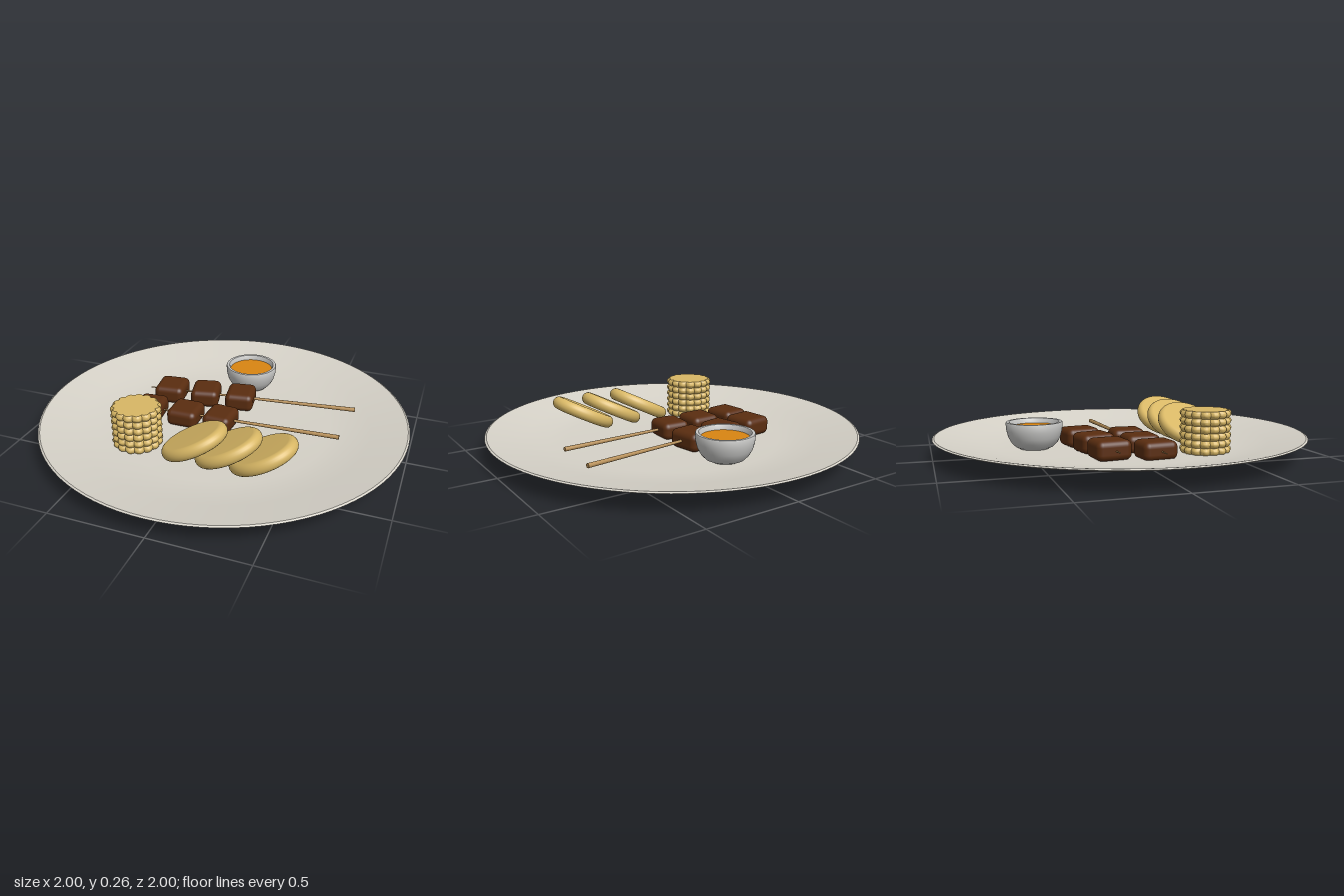
import * as THREE from 'three';
import { RoundedBoxGeometry } from 'three/addons/geometries/RoundedBoxGeometry.js';
import { toCreasedNormals } from 'three/addons/utils/BufferGeometryUtils.js';

const material = (name, color) => {
  const m = new THREE.MeshStandardMaterial({ color });
  m.name = name;
  return m;
};

const lathe = (points, segments) =>
  new THREE.LatheGeometry(points.map(([x, y]) => new THREE.Vector2(x, y)), segments);

export function createModel() {
  const model = new THREE.Group();
  const porcelain = material('porcelain', 0xd6d2c8);
  const ceramic = material('grey ceramic', 0xc6c6c4);
  const sauceOrange = material('sauce orange', 0xd98512);
  const meatBrown = material('grilled brown', 0x5a2d10);
  const wood = material('wood', 0xb89058);
  const dough = material('golden dough', 0xd8b765);

  const add = (parent, name, geometry, mat, x = 0, y = 0, z = 0) => {
    const mesh = new THREE.Mesh(geometry, mat);
    mesh.name = name;
    mesh.position.set(x, y, z);
    parent.add(mesh);
    return mesh;
  };

  // Shallow wide plate
  const plate = lathe([
    [0, 0], [0.55, 0], [0.99, 0.1], [1, 0.106], [0.99, 0.111],
    [0.97, 0.107], [0.8, 0.071], [0.68, 0.048], [0.58, 0.04], [0, 0.038],
  ], 96);
  add(model, 'plate', toCreasedNormals(plate, 0.6), porcelain);

  // Dipping bowl and its sauce
  const bowl = new THREE.Group();
  bowl.name = 'sauceBowl';
  bowl.position.set(0, 0.04, -0.475);
  model.add(bowl);
  const bowlShape = lathe([
    [0, 0], [0.075, 0], [0.1, 0.012], [0.122, 0.035], [0.138, 0.065], [0.147, 0.1],
    [0.15, 0.138], [0.147, 0.144], [0.132, 0.144], [0.128, 0.138], [0.124, 0.11], [0.115, 0.08], [0, 0.07],
  ], 64);
  add(bowl, 'bowl', toCreasedNormals(bowlShape, 0.7), ceramic);
  add(bowl, 'sauce', new THREE.CylinderGeometry(0.124, 0.118, 0.02, 48), sauceOrange, 0, 0.108, 0);

  // Skewers: stick from tip to handle, blocks as [x, z, width, depth, turn]
  const up = new THREE.Vector3(0, 1, 0);
  const skewers = [
    {
      y: 0.09, height: 0.1, tip: [-0.52, -0.16], end: [0.67, -0.303],
      blocks: [[-0.39, -0.176, 0.17, 0.185, 0.12], [-0.185, -0.2, 0.16, 0.185, 0.22], [0.02, -0.225, 0.16, 0.185, 0.16]],
    },
    {
      y: 0.08, height: 0.095, tip: [-0.56, 0.062], end: [0.645, 0.003],
      blocks: [[-0.42, 0.053, 0.16, 0.185, 0.11], [-0.21, 0.043, 0.172, 0.18, 0.01], [-0.007, 0.033, 0.16, 0.18, -0.05]],
    },
  ];
  for (const s of skewers) {
    const skewer = new THREE.Group();
    skewer.name = 'skewer';
    model.add(skewer);
    const a = new THREE.Vector3(s.tip[0], s.y, s.tip[1]);
    const b = new THREE.Vector3(s.end[0], s.y, s.end[1]);
    const dir = b.clone().sub(a);
    const mid = a.clone().add(b).multiplyScalar(0.5);
    const stick = add(skewer, 'stick', new THREE.CylinderGeometry(0.012, 0.003, dir.length(), 12),
      wood, mid.x, mid.y, mid.z);
    stick.quaternion.setFromUnitVectors(up, dir.normalize());
    for (const [x, z, w, d, turn] of s.blocks) {
      add(skewer, 'meatBlock', new RoundedBoxGeometry(w, s.height, d, 4, 0.032), meatBrown, x, s.y, z)
        .rotation.y = turn;
    }
  }

  // Stack of scalloped rounds: rippled profile, then lobes pressed around it
  const layers = 6, layerHeight = 0.037, steps = 6;
  const profile = [[0, 0]];
  for (let i = 0; i < layers; i++) {
    for (let j = 0; j <= steps; j++) {
      if (i > 0 && j === 0) continue;
      const t = j / steps;
      profile.push([0.122 + 0.012 * Math.sin(Math.PI * t), (i + t) * layerHeight]);
    }
  }
  profile.push([0, layers * layerHeight]);
  const stack = lathe(profile, 120);
  const p = stack.attributes.position;
  for (let i = 0; i < p.count; i++) {
    const angle = Math.atan2(p.getZ(i), p.getX(i));
    const k = 0.9 + 0.1 * Math.abs(Math.sin(angle * 7.5));
    p.setXYZ(i, p.getX(i) * k, p.getY(i), p.getZ(i) * k);
  }
  add(model, 'scallopedStack', toCreasedNormals(stack, 0.7), dough, -0.355, 0.038, 0.35);

  // Three oval cakes leaning on one another
  const half = 0.035, radius = 0.158, round = 0.03;
  const cakeProfile = [[0, -half]];
  for (let i = 0; i <= 10; i++) {
    const t = -Math.PI / 2 + (Math.PI * i) / 10;
    cakeProfile.push([radius - round + round * Math.cos(t), half * Math.sin(t)]);
  }
  cakeProfile.push([0, half]);
  const cake = lathe(cakeProfile, 64).scale(1.18, 1, 1);
  for (const x of [-0.015, 0.167, 0.348]) {
    add(model, 'leaningCake', cake, dough, x, 0.14, 0.388).rotation.z = 0.47;
  }

  return model;
}
